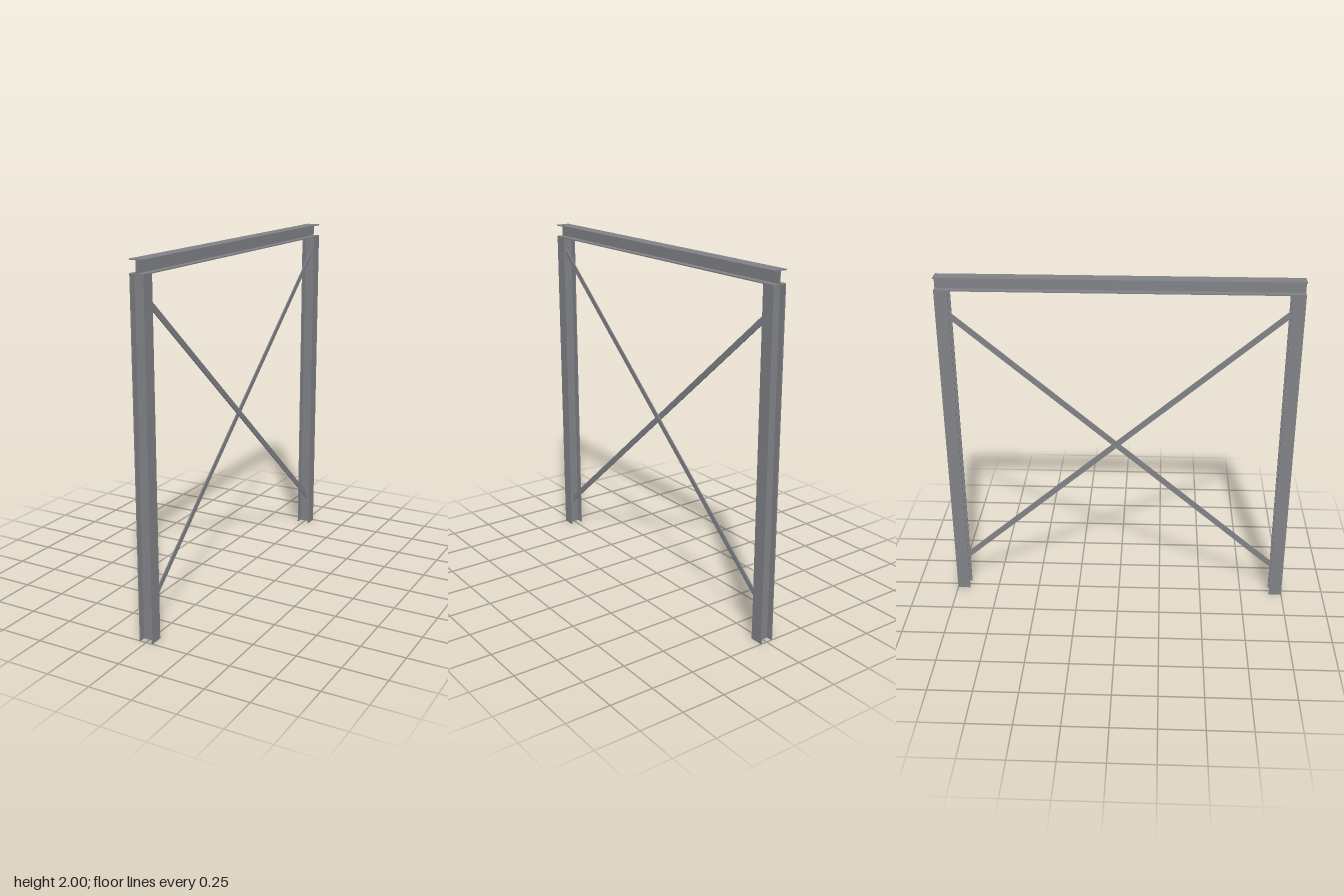
import * as THREE from 'three';

const W = 0.075;       // section depth
const B = 0.08;        // section width across x
const T = 0.006;       // plate thickness
const TOP = 1.925;     // column top, underside of beam

// Symmetrical H outline: flange plates at +-d/2 along y, width w along x
function sectionShape(w, d, t) {
  const a = w / 2, b = d / 2, c = t / 2;
  const quarter = [[a, b], [a, b - t], [c, b - t]];
  const right = [...quarter, ...quarter.map(([x, y]) => [x, -y]).reverse()];
  const left = right.map(([x, y]) => [-x, y]).reverse();
  return new THREE.Shape([...right, ...left].map(([x, y]) => new THREE.Vector2(x, y)));
}

function extrude(shape, depth) {
  const g = new THREE.ExtrudeGeometry(shape, { depth, bevelEnabled: false });
  return g.translate(0, 0, -depth / 2);
}

export function createModel() {
  const model = new THREE.Group();
  model.name = 'bracedSteelFrame';
  const steel = new THREE.MeshStandardMaterial({ color: 0x808286 });
  steel.name = 'steelGrey';

  const add = (name, geometry, x, y, z) => {
    const mesh = new THREE.Mesh(geometry, steel);
    mesh.name = name;
    mesh.position.set(x, y, z);
    model.add(mesh);
  };

  // Top beam with horizontal flanges, running the full length
  add('topBeam', extrude(sectionShape(B, W, T), 2), 0, 2 - W / 2, 0);

  // Columns with flanges facing the sides and the open channel along z
  const column = extrude(sectionShape(W, B, T), TOP).rotateX(-Math.PI / 2).rotateY(Math.PI / 2);
  for (const [name, s] of [['frontColumn', 1], ['backColumn', -1]]) {
    add(name, column, 0, TOP / 2, s * (1 - W / 2));
  }

  // Crossed flat braces, cut square against the column webs
  const end = 1 - W / 2 - T / 2, h = 0.0215;
  const brace = (name, yFront, yBack, x) => {
    // shape x is -z, shape y is height
    const shape = new THREE.Shape([
      new THREE.Vector2(-end, yFront - h), new THREE.Vector2(end, yBack - h),
      new THREE.Vector2(end, yBack + h), new THREE.Vector2(-end, yFront + h),
    ]);
    add(name, extrude(shape, T).rotateY(Math.PI / 2), x, 0, 0);
  };
  brace('fallingBrace', 1.83, 0.19, T / 2);
  brace('risingBrace', 0.17, 1.80, -T / 2);

  return model;
}
